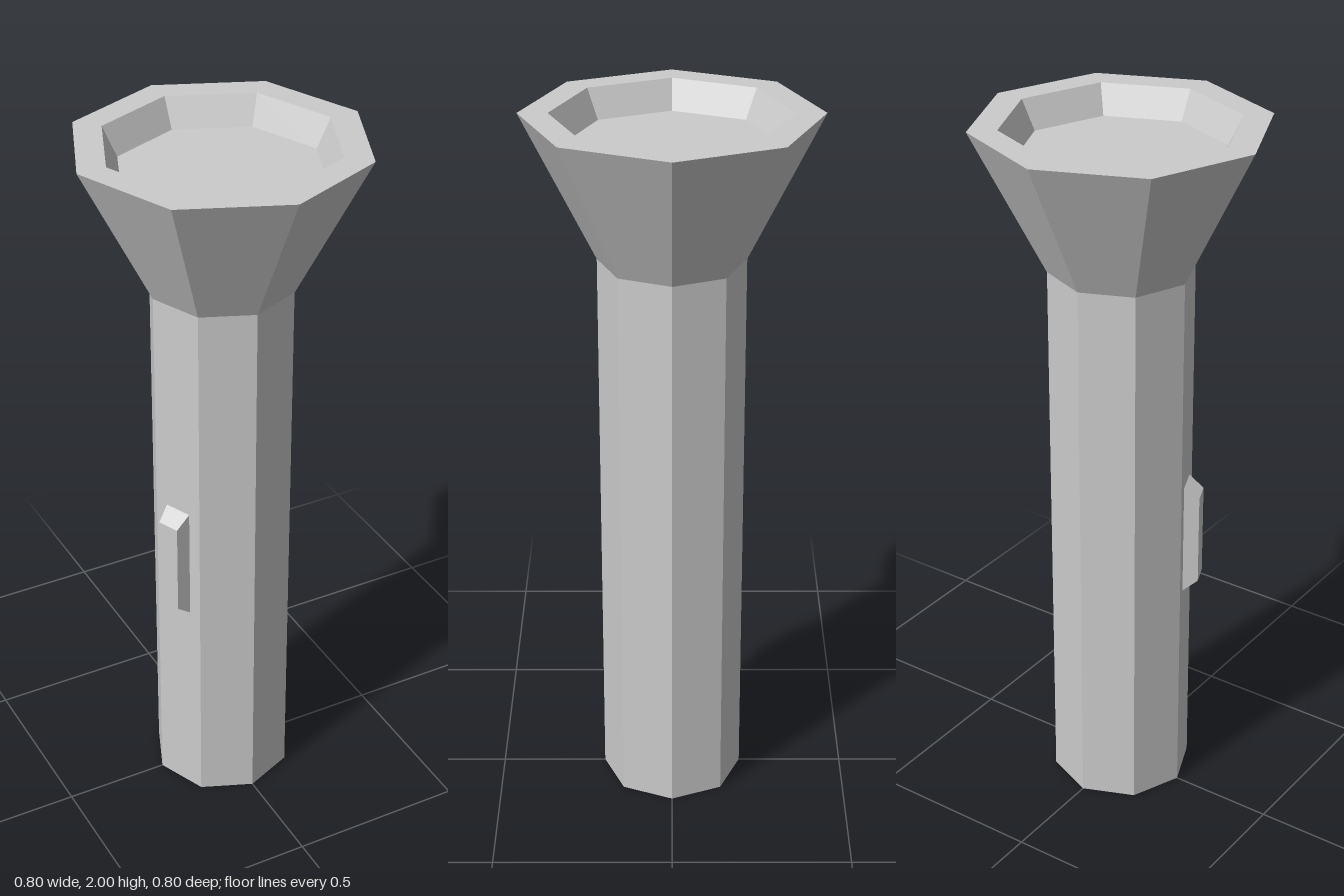
import * as THREE from 'three';

const SIDES = 8;
const material = new THREE.MeshStandardMaterial({ color: 0xcccccc, flatShading: true });

// Octagonal part turned from a profile of [radius, height] points
function turned(name, profile) {
  const points = profile.map(([r, y]) => new THREE.Vector2(r, y));
  const mesh = new THREE.Mesh(new THREE.LatheGeometry(points, SIDES), material);
  mesh.name = name;
  return mesh;
}

// Push button with sloping sides, narrower at its outer (+z) face
function makeSwitch() {
  const width = 0.08, height = 0.334, depth = 0.042, taper = 0.8;
  const geometry = new THREE.BoxGeometry(width, height, depth);
  geometry.translate(0, 0, depth / 2);
  const p = geometry.attributes.position;
  for (let i = 0; i < p.count; i++) {
    if (p.getZ(i) > depth / 2) p.setXY(i, p.getX(i) * taper, p.getY(i) * taper);
  }
  geometry.computeVertexNormals();
  const mesh = new THREE.Mesh(geometry, material);
  mesh.name = 'switch';
  return mesh;
}

export function createModel() {
  const group = new THREE.Group();
  group.name = 'flashlight';

  const radius = 0.2, neck = 1.6;

  // Handle with closed bottom
  group.add(turned('handle', [[0, 0], [radius, 0], [radius, neck]]));

  // Flared head, flat rim and sloping recess wall
  group.add(turned('head', [[radius, neck], [0.4, 2], [0.32, 2], [0.28, 1.92]]));

  // Lens at the bottom of the recess
  group.add(turned('lens', [[0.28, 1.92], [0, 1.92]]));

  // Switch in the middle of one handle face, on the right towards the front
  const angle = -Math.PI / 2 + Math.PI / SIDES;
  const apothem = radius * Math.cos(Math.PI / SIDES);
  const button = makeSwitch();
  button.rotation.y = angle;
  button.position.set(Math.sin(angle) * apothem, 0.803, Math.cos(angle) * apothem);
  group.add(button);

  return group;
}
